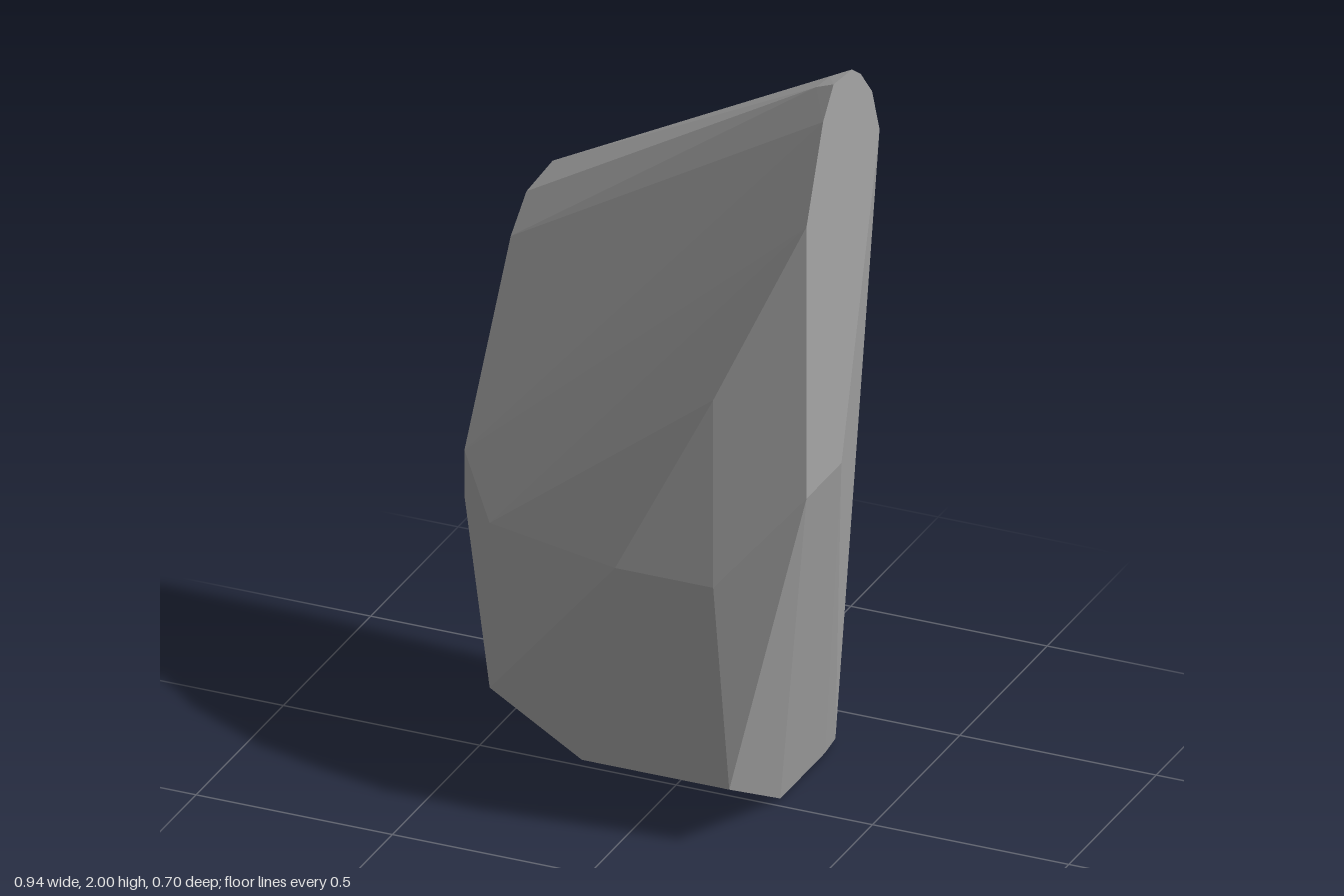
import * as THREE from 'three';
import { ConvexGeometry } from 'three/addons/geometries/ConvexGeometry.js';

// Corner points of a cut end lying on a plane of constant x, given as [z, y]
const onX = (x, pairs) => pairs.map(([z, y]) => [x, y, z]);
// Corner points lying on a plane of constant z, given as [x, y]
const onZ = (z, pairs) => pairs.map(([x, y]) => [x, y, z]);

export function createModel() {
  const group = new THREE.Group();
  group.name = 'rock';

  const corners = [
    // tall flat end with a rounded top
    ...onX(0.47, [[0.31, 0.99], [0.31, 1.70], [0.215, 1.93], [0.155, 2.0], [0.05, 1.99],
      [0, 1.955], [-0.065, 1.88], [-0.108, 1.76], [0.11, 0.99]]),
    // short flat end
    ...onX(-0.47, [[-0.35, 1.37], [-0.2, 1.36], [-0.11, 1.285], [0.155, 0.85],
      [0.155, 0.73], [-0.35, 0.73]]),
    // flat back
    ...onZ(-0.35, [[0, 1.375], [0.25, 0.49], [0.25, 0.01], [-0.405, 0.31]]),
    // front facet
    ...onZ(0.35, [[0, 0.73], [0.25, 0.73], [0.25, 1.22]]),
    // lower front edge
    ...onZ(0.258, [[-0.36, 0.73], [-0.36, 0.30], [-0.125, 0.16], [0.25, 0.16]]),
    // small base
    ...onZ(-0.035, [[0.14, 0], [0.25, 0]]), [0.25, 0, -0.29],
    // crest and back shoulder
    [0.415, 1.97, 0.13], [0.42, 1.968, 0.065], [0.205, 1.60, -0.26],
  ].map((p) => new THREE.Vector3(...p));

  const stone = new THREE.MeshStandardMaterial({ color: 0xa6a6a6 });
  stone.name = 'grey stone';

  const mesh = new THREE.Mesh(new ConvexGeometry(corners), stone);
  mesh.name = 'boulder';
  group.add(mesh);
  return group;
}
